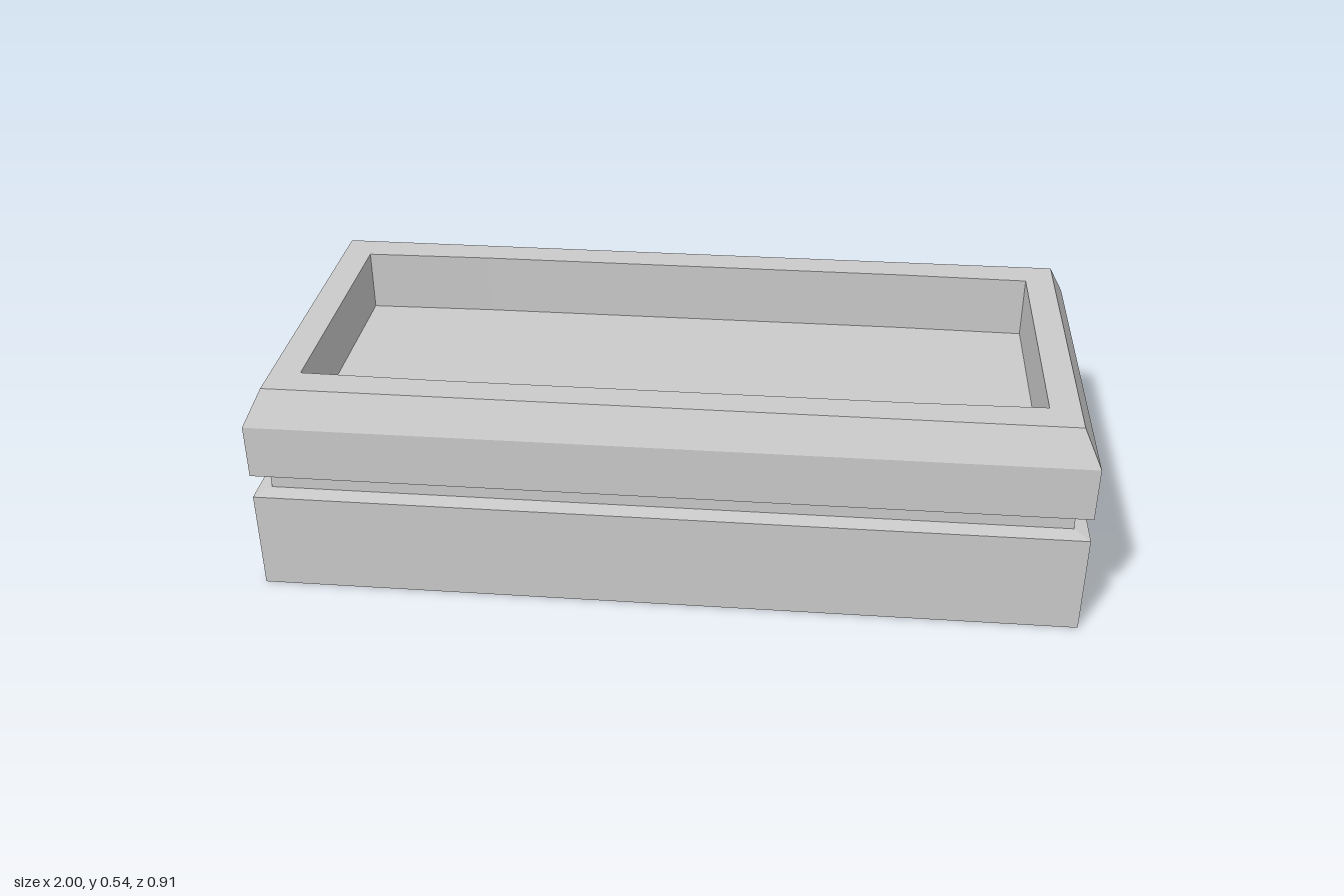
import * as THREE from 'three';

const material = new THREE.MeshStandardMaterial({ color: 0xcccccc, flatShading: true });

// Rectangular ring at height y; bow pushes the middle of the long sides outward
function ring([hx, hz, y, bow = 0]) {
  const k = Math.min(hx, 0.56), m = hz + bow;
  return [[hx, hz], [hx, -hz], [k, -m], [-k, -m], [-hx, -hz], [-hx, hz], [-k, m], [k, m]]
    .map(([x, z]) => new THREE.Vector3(x, y, z));
}

// Skin successive rings, leaving out collapsed triangles
function loft(name, profile) {
  const rings = profile.map(ring), points = [];
  const addTriangle = (a, b, c) => {
    if (new THREE.Triangle(a, b, c).getArea() > 1e-7) points.push(a, b, c);
  };
  for (let i = 0; i < rings.length - 1; i++) {
    const low = rings[i], high = rings[i + 1];
    for (let j = 0; j < 8; j++) {
      const n = (j + 1) % 8;
      addTriangle(low[j], low[n], high[n]);
      addTriangle(low[j], high[n], high[j]);
    }
  }
  const geometry = new THREE.BufferGeometry().setFromPoints(points);
  geometry.computeVertexNormals();
  const mesh = new THREE.Mesh(geometry, material);
  mesh.name = name;
  return mesh;
}

export function createModel() {
  const group = new THREE.Group();
  group.name = 'planterBox';
  group.add(
    // Closed base block with a slightly sloped ledge
    loft('base', [[0, 0, 0], [1, 0.455, 0], [1, 0.455, 0.253], [0.965, 0.413, 0.258]]),
    // Recessed band
    loft('neck', [[0.965, 0.413, 0.258], [0.965, 0.413, 0.309]]),
    // Upper block with chamfered outer edge and flat rim
    loft('upperRim', [
      [0.965, 0.413, 0.309], [1, 0.455, 0.314], [1, 0.455, 0.45],
      [0.958, 0.413, 0.535], [0.885, 0.33, 0.535, 0.006],
    ]),
    // Sunken tray: inner walls and floor
    loft('tray', [[0.885, 0.33, 0.535, 0.006], [0.885, 0.33, 0.377, 0.006], [0, 0, 0.377]]),
  );
  return group;
}
